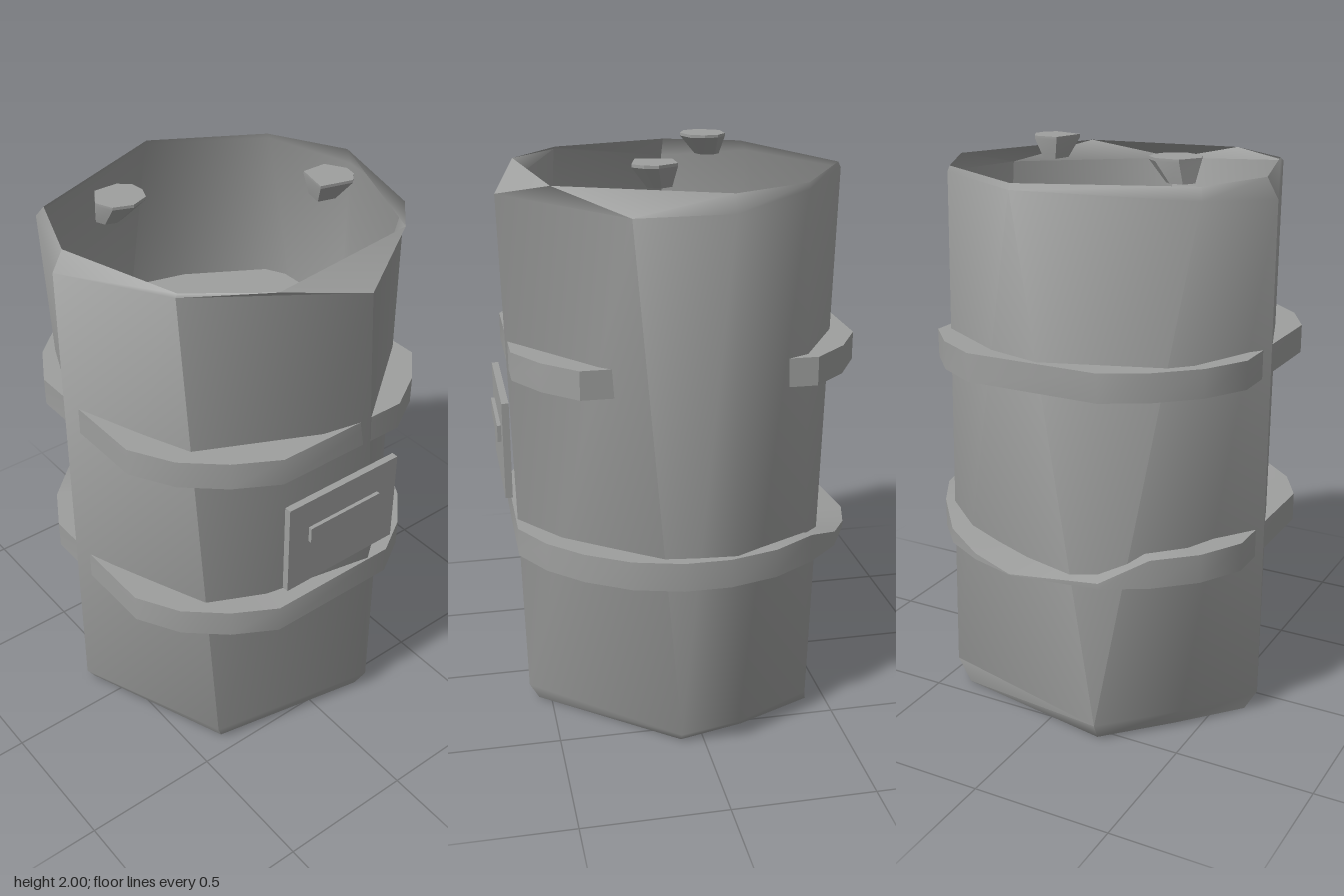
import * as THREE from 'three';
import { toCreasedNormals } from 'three/addons/utils/BufferGeometryUtils.js';

// Skin a stack of rings (bottom to top, each clockwise from above).
// A solid is closed round and capped at both ends; otherwise it is an open strip.
function loft(rings, solid, crease) {
  const pos = [];
  const tri = (a, b, c) => pos.push(...a, ...b, ...c);
  const n = rings[0].length;
  for (let r = 0; r < rings.length - 1; r++) {
    const lo = rings[r], hi = rings[r + 1];
    for (let i = 0; i < (solid ? n : n - 1); i++) {
      const j = (i + 1) % n;
      tri(lo[j], lo[i], hi[i]);
      tri(lo[j], hi[i], hi[j]);
    }
  }
  if (solid) {
    const lo = rings[0], hi = rings[rings.length - 1];
    const mid = (ring) => [0, 1, 2].map((k) => ring.reduce((s, p) => s + p[k], 0) / n);
    const cl = mid(lo), ch = mid(hi);
    for (let i = 0; i < n; i++) {
      const j = (i + 1) % n;
      tri(cl, lo[i], lo[j]);
      tri(ch, hi[j], hi[i]);
    }
  }
  const g = new THREE.BufferGeometry();
  g.setAttribute('position', new THREE.Float32BufferAttribute(pos, 3));
  return toCreasedNormals(g, crease);
}

// Lift [x, z] outline points to a height
const at = (outline, y) => outline.map(([x, z]) => [x, y, z]);

export function createModel() {
  const model = new THREE.Group();
  const steel = new THREE.MeshStandardMaterial({ color: 0x9e9f9e, side: THREE.DoubleSide });
  steel.name = 'greySteel';
  const add = (name, geometry) => {
    const mesh = new THREE.Mesh(geometry, steel);
    mesh.name = name;
    model.add(mesh);
    return mesh;
  };

  // Drum wall: open at both ends, with bevelled and slightly twisted rims
  const base = at([[-0.595, -0.12], [-0.41, -0.33], [-0.21, -0.54], [0.4, -0.43],
    [0.52, -0.15], [0.575, 0.08], [0.2, 0.545], [-0.38, 0.43]], 0);
  const foot = [[-0.635, 0.07, -0.1], [-0.445, 0.07, -0.35], [-0.22, 0.07, -0.583], [0.47, 0.07, -0.405],
    [0.61, 0.07, -0.12], [0.595, 0.03, 0.08], [0.22, 0.07, 0.58], [-0.41, 0.07, 0.455]];
  const shoulder = [[-0.635, 1.87, -0.085], [-0.505, 1.9, -0.395], [0.07, 1.92, -0.59], [0.46, 1.92, -0.36],
    [0.61, 1.88, -0.085], [0.57, 1.87, 0.235], [0.07, 1.87, 0.618], [-0.48, 1.93, 0.355]];
  const rim = at([[-0.595, -0.085], [-0.49, -0.365], [0.07, -0.58], [0.45, -0.36],
    [0.59, -0.085], [0.35, 0.46], [-0.23, 0.53], [-0.47, 0.35]], 1.94);
  // One rounded panel and two flat ones, meeting at sharp upright edges
  const panels = { roundedWall: [0, 1, 2, 3, 4, 5, 6], frontWall: [6, 7], leftWall: [7, 0] };
  for (const [name, columns] of Object.entries(panels)) {
    const rings = [base, foot, shoulder, rim].map((ring) => columns.map((i) => ring[i]));
    add(name, loft(rings, false, 1.05));
  }

  // Bands: solid discs that cut through the drum
  const leftArc = [[0.25, 0.6], [-0.25, 0.6], [-0.4, 0.515], [-0.53, 0.4], [-0.615, 0.25],
    [-0.615, -0.25], [-0.53, -0.4], [-0.4, -0.52], [-0.25, -0.605]];
  const upper = [[0.5, 0.4], [0.39, 0.515], ...leftArc, [0.24, -0.605], [0.39, -0.52], [0.5, -0.4]];
  add('upperBand', loft([at(upper, 1.27), at(upper, 1.37)], true, 0.7));

  // The lower band is pinched down to a point at the back
  const lower = [...leftArc, [0.07, -0.65], [0.24, -0.6], [0.39, -0.52], [0.5, -0.4], [0.59, -0.25],
    [0.635, -0.08], [0.635, 0.08], [0.59, 0.25], [0.5, 0.4], [0.39, 0.515]];
  const lowerTop = lower.map(([x, z]) =>
    [x, x > -0.3 && z < -0.4 ? Math.max(0.62, 0.72 + 0.4 * (z + 0.4)) : 0.72, z]);
  add('lowerBand', loft([at(lower, 0.617), lowerTop], true, 0.7));

  // Bungs: flat tops tapering down towards the back left corner cx, cz
  const bung = (name, top, cx, cz) => {
    const tip = top.map(([x, z]) => [cx + (x - cx) * 0.55, cz + (z - cz) * 0.55]);
    add(name, loft([at(tip, 1.92), at(top, 1.99), at(top, 2)], true, 0.4));
  };
  bung('largeBung', [[-0.405, -0.18], [-0.36, -0.255], [-0.275, -0.255], [-0.235, -0.22],
    [-0.23, -0.17], [-0.25, -0.12], [-0.315, -0.095], [-0.38, -0.12]], -0.38, -0.23);
  bung('smallBung', [[0.24, 0.17], [0.27, 0.05], [0.36, 0.05], [0.4, 0.12], [0.39, 0.165], [0.355, 0.2]], 0.3, 0.08);

  // Front plate and its raised bar
  add('plate', new THREE.BoxGeometry(0.475, 0.35, 0.025)).position.set(-0.013, 1.005, 0.624);
  add('plateBar', new THREE.BoxGeometry(0.305, 0.06, 0.014)).position.set(-0.013, 1.04, 0.643);

  return model;
}
